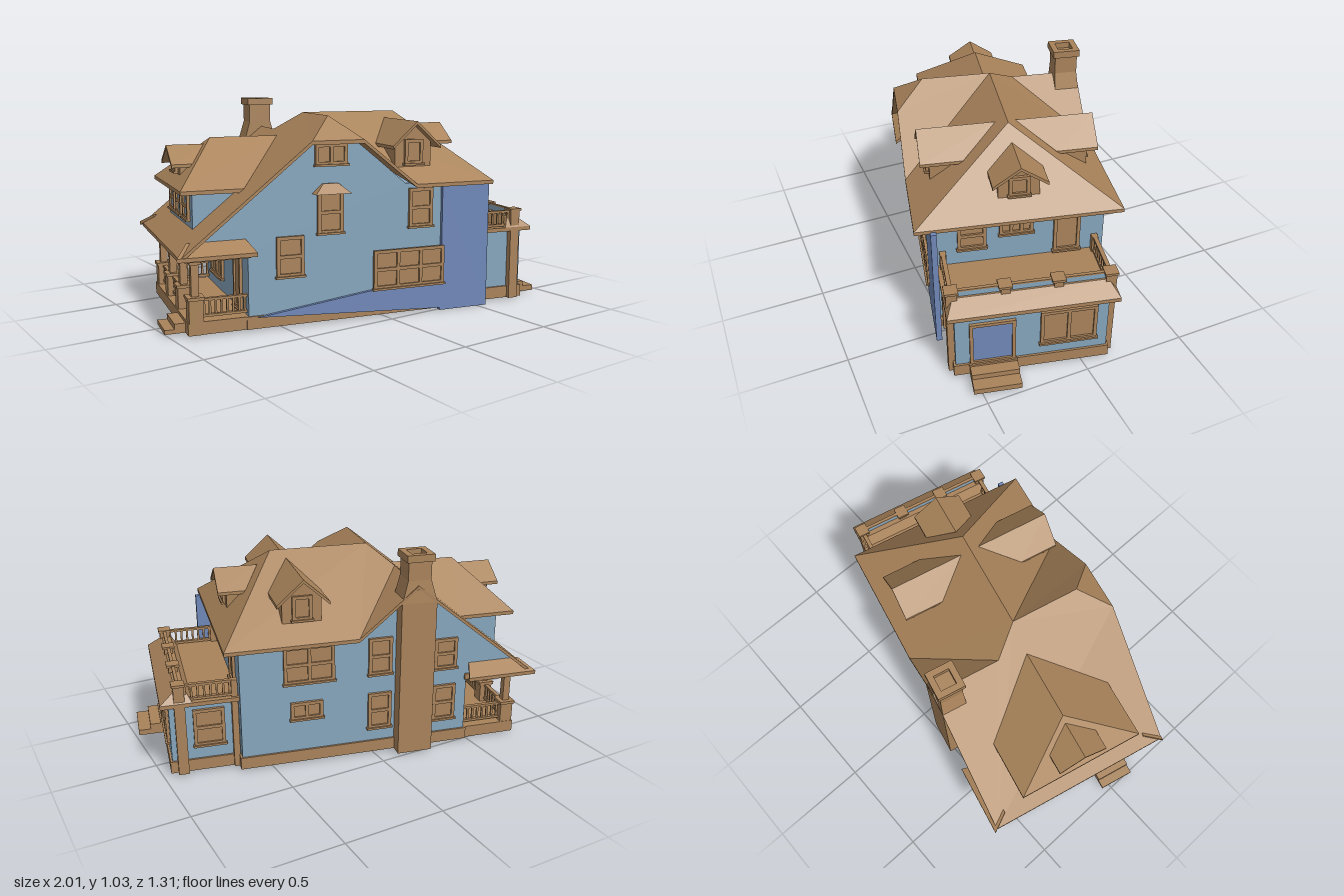
import * as THREE from 'three';

const brown = new THREE.MeshStandardMaterial({ color: 0xa9835a });
const blue = new THREE.MeshStandardMaterial({ color: 0x86a5bd });
const deepBlue = new THREE.MeshStandardMaterial({ color: 0x7088b8 });
const SIDE = { south: 0, east: Math.PI / 2, north: Math.PI, west: -Math.PI / 2 };

function add(parent, name, geometry, material = brown) {
  const mesh = new THREE.Mesh(geometry, material);
  mesh.name = name;
  parent.add(mesh);
  return mesh;
}

// Box from its extents
function box(parent, name, x0, x1, y0, y1, z0, z1, material) {
  const g = new THREE.BoxGeometry(x1 - x0, y1 - y0, z1 - z0);
  g.translate((x0 + x1) / 2, (y0 + y1) / 2, (z0 + z1) / 2);
  return add(parent, name, g, material);
}

// Tapered block between two rectangles [x0, x1, z0, z1]
function taper(parent, name, low, y0, high, y1) {
  const g = new THREE.BoxGeometry(1, 1, 1), p = g.attributes.position;
  for (let i = 0; i < p.count; i++) {
    const top = p.getY(i) > 0, r = top ? high : low;
    p.setXYZ(i, r[p.getX(i) > 0 ? 1 : 0], top ? y1 : y0, r[p.getZ(i) > 0 ? 3 : 2]);
  }
  g.computeVertexNormals();
  return add(parent, name, g);
}

// Sloping roof panel: an outline of [x, y, z] corners given a vertical thickness
function panel(parent, name, corners, t = 0.018) {
  let flat = corners.map(c => new THREE.Vector2(c[0], -c[2]));
  if (THREE.ShapeUtils.isClockWise(flat)) {
    corners = [...corners].reverse();
    flat = flat.reverse();
  }
  const low = corners.map(c => [c[0], c[1] - t, c[2]]), v = [];
  for (const [a, b, c] of THREE.ShapeUtils.triangulateShape(flat, [])) {
    const ccw = !THREE.ShapeUtils.isClockWise([flat[a], flat[b], flat[c]]);
    const [p, q] = ccw ? [b, c] : [c, b];
    v.push(...corners[a], ...corners[p], ...corners[q], ...low[a], ...low[q], ...low[p]);
  }
  corners.forEach((c, i) => {
    const j = (i + 1) % corners.length;
    v.push(...low[i], ...low[j], ...corners[j], ...low[i], ...corners[j], ...c);
  });
  const g = new THREE.BufferGeometry();
  g.setAttribute('position', new THREE.Float32BufferAttribute(v, 3));
  g.computeVertexNormals();
  return add(parent, name, g);
}

// Upright profile in x, y carried from z0 to z1
function prism(parent, name, points, z0, z1, material) {
  const shape = new THREE.Shape(points.map(p => new THREE.Vector2(...p)));
  const g = new THREE.ExtrudeGeometry(shape, { depth: z1 - z0, bevelEnabled: false });
  return add(parent, name, g.translate(0, 0, z0), material);
}

// Flat frame with rectangular openings in a row
function frameGeometry(w, h, depth, border, cols = 1, rows = 1) {
  const rect = (C, x, y, a, b) => new C([[x, y], [x + a, y], [x + a, y + b], [x, y + b]].map(p => new THREE.Vector2(...p)));
  const shape = rect(THREE.Shape, -w / 2, -h / 2, w, h);
  const pw = (w - border * (cols + 1)) / cols, ph = (h - border * (rows + 1)) / rows;
  for (let i = 0; i < cols; i++) for (let j = 0; j < rows; j++)
    shape.holes.push(rect(THREE.Path, -w / 2 + border + i * (pw + border), -h / 2 + border + j * (ph + border), pw, ph));
  return new THREE.ExtrudeGeometry(shape, { depth, bevelEnabled: false });
}

// Window between a and b along a wall lying at distance d
function win(parent, side, d, a, b, y0, y1, cols = 1, rows = 2, pane = brown, name = 'window') {
  const g = new THREE.Group(), w = b - a, h = y1 - y0, c = (a + b) / 2;
  g.name = name;
  add(g, 'frame', frameGeometry(w, h, 0.014, 0.016, cols, rows));
  add(g, 'pane', new THREE.BoxGeometry(w - 0.01, h - 0.01, 0.006).translate(0, 0, 0.002), pane);
  const sill = new THREE.BoxGeometry(w + 0.012, 0.01, 0.022).translate(0, -h / 2, 0.011);
  add(g, 'sill', sill);
  g.rotation.y = SIDE[side];
  const alongX = side === 'south' || side === 'north';
  g.position.set(alongX ? c : d, (y0 + y1) / 2, alongX ? d : c);
  parent.add(g);
}

// Gabled roof dormer, facing +z before it is turned
function dormer(parent, side, x, z, o) {
  const g = new THREE.Group(), { hw, ridge, eave, front, ridgeBack, eaveBack } = o;
  g.name = side + 'Dormer';
  for (const s of [-1, 1])
    panel(g, 'dormerRoof', [[0, ridge, front], [0, ridge, ridgeBack], [s * hw, eave, eaveBack], [s * hw, eave, front]], 0.016);
  const bw = hw * 0.75, shoulder = ridge - (ridge - eave) * 0.75 - 0.014;
  prism(g, 'dormerBody', [[-bw, o.base], [bw, o.base], [bw, shoulder], [0, ridge - 0.014], [-bw, shoulder]], ridgeBack + 0.05, front - 0.045);
  win(g, 'south', front - 0.045, -hw * 0.38, hw * 0.38, o.base + 0.025, shoulder + 0.012, 1, 1, brown, 'dormerWindow');
  g.position.set(x, 0, z);
  g.rotation.y = SIDE[side];
  parent.add(g);
}

// Railing along x or z with evenly spaced balusters
function railing(parent, x0, z0, x1, z1, y0, y1) {
  const n = Math.max(2, Math.round(Math.hypot(x1 - x0, z1 - z0) / 0.028)), r = 0.005;
  for (let i = 0; i <= n; i++) {
    const x = x0 + (x1 - x0) * i / n, z = z0 + (z1 - z0) * i / n;
    box(parent, 'baluster', x - r, x + r, y0, y1, z - r, z + r);
  }
  for (const y of [y0, y1])
    box(parent, 'rail', x0 - 0.01, x1 + 0.01, y - 0.006, y + 0.006, z0 - 0.01, z1 + 0.01);
}

function buildWalls(h) {
  const west = [[-0.58, 0.01], [0.57, 0.01], [0.57, 0.645]];
  const porchEnd = [[-0.84, 0.415], [-0.84, 0.37], [-0.58, 0.37]];
  prism(h, 'rearWalls', [...west, [-0.01, 0.645], [-0.281, 0.865], ...porchEnd], -0.385, 0, blue);
  prism(h, 'frontWalls', [...west, [0.21, 0.645], [-0.046, 0.855], [-0.3, 0.855], ...porchEnd], 0, 0.42, blue);
  box(h, 'foundation', -0.59, 0.58, 0.01, 0.07, -0.395, 0.426);
  prism(h, 'overlaidWall', [[-0.54, 0.065], [0.4, 0.012], [0.4, 0], [0.667, 0], [0.667, 0.64], [0.405, 0.64], [0.405, 0.15], [0.02, 0.135]], 0.41, 0.437, deepBlue);
  win(h, 'south', 0.432, 0.036, 0.416, 0.14, 0.33, 3, 2);
  for (const [a, b, y0, y1, c, r] of [[-0.447, -0.313, 0.24, 0.43, 1, 2], [-0.246, -0.118, 0.43, 0.63, 1, 2], [0.226, 0.354, 0.43, 0.62, 1, 2], [-0.257, -0.098, 0.75, 0.85, 2, 1]])
    win(h, 'south', 0.42, a, b, y0, y1, c, r);
  taper(h, 'windowHood', [-0.27, -0.094, 0.42, 0.475], 0.62, [-0.22, -0.144, 0.42, 0.43], 0.665);
  for (const [a, b, y0, y1, c, r] of [[0.11, 0.36, 0.43, 0.62, 2, 2], [0.17, 0.33, 0.24, 0.33, 2, 1], [-0.18, -0.06, 0.43, 0.62, 1, 2], [-0.18, -0.06, 0.14, 0.33, 1, 2], [-0.52, -0.4, 0.42, 0.58, 1, 2], [-0.52, -0.4, 0.14, 0.33, 1, 2]])
    win(h, 'north', -0.385, a, b, y0, y1, c, r);
  win(h, 'east', 0.57, 0.175, 0.309, 0.47, 0.62);
  win(h, 'east', 0.57, -0.045, 0.114, 0.53, 0.62, 3, 1);
  win(h, 'east', 0.57, -0.27, -0.143, 0.4, 0.62, 1, 1, brown, 'balconyDoor');
  win(h, 'west', -0.58, -0.25, -0.02, 0.14, 0.32, 2, 2);
  win(h, 'west', -0.58, 0.2, 0.32, 0.07, 0.33, 1, 1, brown, 'porchDoor');
}

function buildRoof(h) {
  const P = [-0.172, 0.975, 0.026], Q = [0.327, 0.975, 0.026], N = [-0.281, 0.886, -0.11], J = [-0.172, 0.975, 0.368];
  const jw = [-0.3, 0.87, 0.508], je = [-0.046, 0.87, 0.508], valley = [0.23, 0.65, 0.508], rear = [-0.281, 0.886, -0.455];
  const se = [0.645, 0.65, 0.508], ne = [0.645, 0.65, -0.455], rearValley = [0.006, 0.65, -0.455];
  panel(h, 'westRoof', [[-0.907, 0.38, 0.508], [-0.907, 0.38, -0.455], rear, N, P, J, jw]);
  panel(h, 'clippedGable', [J, jw, je]);
  panel(h, 'gableRoof', [P, J, je, valley]);
  panel(h, 'southRoof', [P, valley, se, Q]);
  panel(h, 'eastRoof', [Q, se, ne]);
  panel(h, 'northRoof', [P, Q, ne, rearValley, N]);
  panel(h, 'rearGableRoof', [N, rearValley, rear]);

  // Wide hipped dormer above the porch
  box(h, 'wideDormerWalls', -0.8, -0.5, 0.455, 0.645, -0.235, 0.285, blue);
  const a = [-0.649, 0.863, 0.027], b = [-0.309, 0.863, 0.027];
  for (const z of [-0.294, 0.347])
    panel(h, 'wideDormerRoof', [a, b, [-0.573, 0.65, z], [-0.865, 0.65, z]]);
  panel(h, 'wideDormerHip', [a, [-0.865, 0.65, -0.294], [-0.865, 0.65, 0.347]]);
  for (const z of [-0.13, 0.025, 0.18]) win(h, 'west', -0.8, z - 0.055, z + 0.055, 0.5, 0.625, 1, 2, blue);

  const large = { hw: 0.127, ridge: 0.943, eave: 0.828, front: 0.445, ridgeBack: 0.072, eaveBack: 0.246, base: 0.71 };
  dormer(h, 'south', 0.257, 0, large);
  dormer(h, 'north', 0.257, 0.052, large);
  dormer(h, 'east', 0, 0.022, { hw: 0.128, ridge: 0.908, eave: 0.82, front: 0.612, ridgeBack: 0.395, eaveBack: 0.478, base: 0.715 });
  dormer(h, 'west', 0, 0.024, { hw: 0.125, ridge: 0.832, eave: 0.75, front: 0.862, ridgeBack: 0.679, eaveBack: 0.763, base: 0.68 });
}

function buildChimney(h) {
  const stack = [-0.376, -0.2, -0.455, -0.37], mid = [-0.376, -0.2, -0.455, -0.33], top = [-0.345, -0.23, -0.445, -0.33];
  taper(h, 'chimneyStack', stack, 0.01, stack, 0.8);
  taper(h, 'chimneyShoulder', mid, 0.8, top, 0.91);
  taper(h, 'chimneyShaft', top, 0.91, top, 1.005);
  add(h, 'chimneyCap', frameGeometry(0.137, 0.137, 0.035, 0.03).rotateX(-Math.PI / 2).translate(-0.288, 1, -0.387));
}

function buildPorch(h) {
  box(h, 'porchFloor', -0.86, -0.57, 0.01, 0.07, -0.385, 0.42);
  box(h, 'porchCeiling', -0.87, -0.57, 0.345, 0.375, -0.395, 0.43);
  const zs = [-0.35, -0.1, 0.15, 0.39];
  zs.forEach((z, i) => {
    box(h, 'porchPedestal', -0.855, -0.79, 0.01, 0.175, z - 0.033, z + 0.033);
    box(h, 'pedestalCap', -0.862, -0.783, 0.17, 0.185, z - 0.04, z + 0.04);
    box(h, 'porchColumn', -0.84, -0.805, 0.18, 0.35, z - 0.018, z + 0.018);
    box(h, 'columnCapital', -0.848, -0.797, 0.33, 0.35, z - 0.026, z + 0.026);
    if (i < 2) railing(h, -0.822, z + 0.04, -0.822, zs[i + 1] - 0.04, 0.09, 0.165);
  });
  for (const z of [-0.35, 0.39]) railing(h, -0.78, z, -0.59, z, 0.09, 0.165);
  [[-0.91, 0.055], [-0.955, 0.03]].forEach(([x, y]) => box(h, 'porchStep', x, -0.85, 0.01, y, 0.18, 0.36));
  for (const [wall, out] of [[0.42, 0.51], [-0.385, -0.47]])
    panel(h, 'porchSkirtRoof', [[-0.92, 0.385, out], [-0.56, 0.385, out], [-0.59, 0.432, wall], [-0.86, 0.432, wall]]);
}

function buildSunroom(h) {
  box(h, 'sunroomWalls', 0.56, 0.9, 0.01, 0.37, -0.33, 0.375, blue);
  box(h, 'sunroomBase', 0.56, 0.91, 0.01, 0.07, -0.34, 0.385);
  box(h, 'sunroomEave', 0.56, 0.94, 0.365, 0.385, -0.37, 0.41);
  taper(h, 'sunroomSkirtRoof', [0.79, 0.94, -0.37, 0.41], 0.385, [0.82, 0.865, -0.33, 0.375], 0.44);
  win(h, 'east', 0.9, 0.1, 0.31, 0.07, 0.31, 1, 1, deepBlue, 'sunroomDoor');
  win(h, 'east', 0.9, -0.276, -0.014, 0.14, 0.33, 2, 1);
  win(h, 'north', -0.33, 0.64, 0.79, 0.14, 0.33, 1, 2);
  [[0.975, 0.065], [1.036, 0.038]].forEach(([x, y]) => box(h, 'sunroomStep', 0.89, x, 0.01, y, 0.093, 0.313));

  // Balcony parapet, posts and side railings
  box(h, 'parapet', 0.846, 0.856, 0.43, 0.472, -0.34, 0.38, blue);
  box(h, 'parapetRail', 0.843, 0.859, 0.468, 0.476, -0.34, 0.38);
  for (const z of [-0.34, -0.1, 0.14, 0.38]) {
    box(h, 'balconyPost', 0.83, 0.872, 0.39, 0.47, z - 0.021, z + 0.021);
    box(h, 'postCap', 0.82, 0.882, 0.468, 0.48, z - 0.031, z + 0.031);
  }
  for (const z of [-0.34, 0.38]) {
    box(h, 'cornerPillar', 0.825, 0.875, 0.01, 0.47, z - 0.025, z + 0.025);
    box(h, 'wallPillar', 0.575, 0.605, 0.01, 0.47, z - 0.015, z + 0.015);
    railing(h, 0.61, z, 0.82, z, 0.395, 0.465);
  }
}

export function createModel() {
  const root = new THREE.Group(), house = new THREE.Group();
  house.name = 'house';
  house.rotation.y = -0.229;
  buildWalls(house);
  buildRoof(house);
  buildChimney(house);
  buildPorch(house);
  buildSunroom(house);
  root.add(house);
  return root;
}
